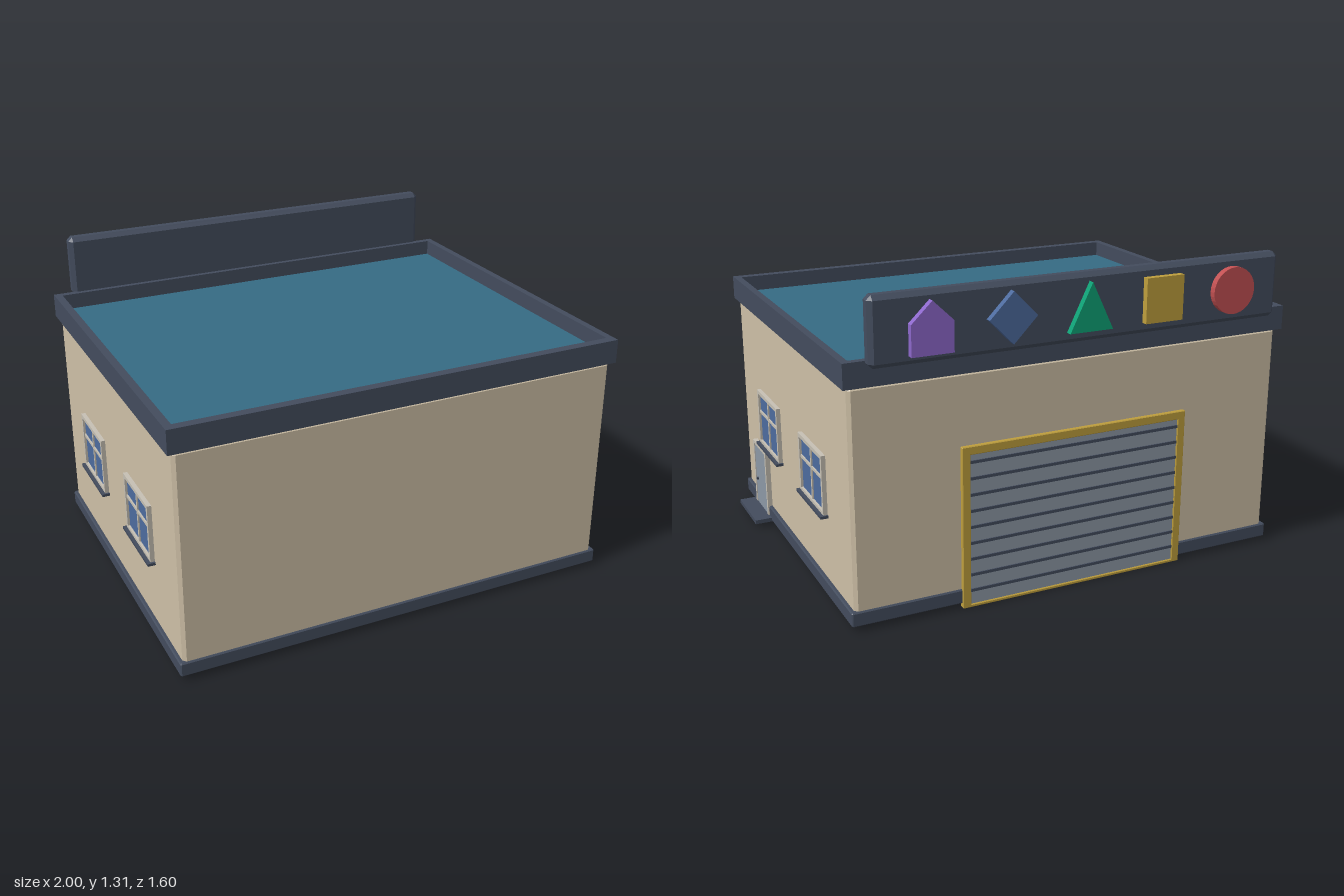
import * as THREE from 'three';
import { ConvexGeometry } from 'three/addons/geometries/ConvexGeometry.js';

const mat = (name, color) => {
  const m = new THREE.MeshStandardMaterial({ color });
  m.name = name;
  return m;
};

export function createModel() {
  const M = {
    wall: mat('sand wall', 0xcdbfa6), dark: mat('slate trim', 0x434c5d),
    roof: mat('teal roof', 0x356b84), blue: mat('blue', 0x4d6b9e),
    grey: mat('door grey', 0x8d98a5), frame: mat('pale frame', 0xc6c0b4),
    yellow: mat('yellow', 0xbf9f3d), red: mat('red', 0xc25052),
    green: mat('green', 0x0ca276), purple: mat('purple', 0x8d68cb),
  };
  const root = new THREE.Group();
  root.name = 'garageBuilding';

  const add = (parent, name, geo, material) => {
    const m = new THREE.Mesh(geo, material);
    m.name = name;
    parent.add(m);
    return m;
  };

  // Box given by its limits, with optional chamfered edges
  const box = (parent, name, material, [x0, x1], [y0, y1], [z0, z1], c = 0) => {
    const size = [x1 - x0, y1 - y0, z1 - z0];
    let geo;
    if (c) {
      const pts = [];
      for (const sx of [-1, 1]) for (const sy of [-1, 1]) for (const sz of [-1, 1])
        for (let axis = 0; axis < 3; axis++) {
          const p = [sx, sy, sz].map((s, i) => s * (size[i] / 2 - (i === axis ? 0 : c)));
          pts.push(new THREE.Vector3(...p));
        }
      geo = new ConvexGeometry(pts);
    } else geo = new THREE.BoxGeometry(...size);
    geo.translate((x0 + x1) / 2, (y0 + y1) / 2, (z0 + z1) / 2);
    return add(parent, name, geo, material);
  };

  const rect = (Type, x0, x1, y0, y1) => new Type().setFromPoints(
    [[x0, y0], [x1, y0], [x1, y1], [x0, y1]].map(p => new THREE.Vector2(...p)));

  // Body, plinth and roof
  box(root, 'walls', M.wall, [-0.97, 0.91], [0.05, 0.968], [-0.7, 0.785], 0.014);
  box(root, 'plinth', M.dark, [-0.985, 0.925], [0.02, 0.08], [-0.708, 0.793], 0.005);
  box(root, 'roof', M.roof, [-0.965, 0.905], [0.97, 1.0], [-0.695, 0.765]);

  // Parapet ring around the roof
  const ring = rect(THREE.Shape, -0.99, 0.93, -0.798, 0.717);
  ring.holes.push(rect(THREE.Path, -0.957, 0.9, -0.76, 0.688));
  const ringGeo = new THREE.ExtrudeGeometry(ring, { depth: 0.1, bevelEnabled: false });
  ringGeo.rotateX(-Math.PI / 2).translate(0, 0.966, 0);
  add(root, 'parapet', ringGeo, M.dark);

  // Sign board with five raised shapes
  const sign = new THREE.Group();
  sign.name = 'sign';
  root.add(sign);
  box(sign, 'signBoard', M.dark, [-0.902, 0.848], [1.045, 1.312], [-0.775, -0.71], 0.018);
  const icons = [
    ['circle', M.red, -0.675, null],
    ['square', M.yellow, -0.352, [[-0.083, -0.09], [0.083, -0.09], [0.083, 0.09], [-0.083, 0.09]]],
    ['triangle', M.green, -0.03, [[-0.092, -0.09], [0.092, -0.09], [0, 0.1]]],
    ['diamond', M.blue, 0.297, [[0, -0.1], [0.098, 0], [0, 0.1], [-0.098, 0]]],
    ['pentagon', M.purple, 0.617,
      [[-0.083, -0.1], [0.083, -0.1], [0.083, 0.02], [0, 0.1], [-0.083, 0.02]]],
  ];
  for (const [name, material, x, pts] of icons) {
    const shape = new THREE.Shape();
    if (pts) shape.setFromPoints(pts.map(p => new THREE.Vector2(...p)));
    else shape.absarc(0, 0, 0.095, 0, Math.PI * 2);
    const geo = new THREE.ExtrudeGeometry(shape,
      { depth: 0.034, bevelEnabled: false, curveSegments: 16 });
    add(sign, name, geo, material).position.set(x, 1.18, -0.802);
  }

  // Roller door at the back
  const garage = new THREE.Group();
  garage.name = 'rollerDoor';
  root.add(garage);
  box(garage, 'rollerPanel', M.grey, [-0.5, 0.44], [0.01, 0.645], [-0.711, -0.69]);
  for (let i = 1; i <= 9; i++) {
    const y = 0.005 + i * 0.0672;
    box(garage, 'slatGap', M.dark, [-0.495, 0.435], [y - 0.006, y + 0.006], [-0.716, -0.7]);
  }
  const zf = [-0.717, -0.69];
  box(garage, 'frameSide', M.yellow, [-0.53, -0.495], [0, 0.675], zf, 0.003);
  box(garage, 'frameSide', M.yellow, [0.435, 0.47], [0, 0.675], zf, 0.003);
  box(garage, 'frameTop', M.yellow, [-0.53, 0.47], [0.64, 0.675], zf, 0.003);
  box(garage, 'frameBottom', M.yellow, [-0.53, 0.47], [0, 0.013], zf, 0.003);

  // Windows, two on each side wall; local +x points outwards
  const addWindow = (x, z, turn) => {
    const w = new THREE.Group();
    w.name = 'window';
    w.position.set(x, 0, z);
    w.rotation.y = turn;
    root.add(w);
    box(w, 'glass', M.blue, [-0.01, 0.008], [0.365, 0.605], [-0.145, 0.145]);
    for (const s of [-1, 1])
      box(w, 'windowSide', M.frame, [-0.01, 0.018], [0.362, 0.612],
        [s * 0.143 - 0.008, s * 0.143 + 0.008]);
    for (const y of [0.37, 0.604])
      box(w, 'windowRail', M.frame, [-0.01, 0.018], [y - 0.008, y + 0.008], [-0.15, 0.15]);
    box(w, 'mullion', M.frame, [-0.01, 0.014], [0.37, 0.604], [-0.006, 0.006]);
    box(w, 'crossbar', M.frame, [-0.01, 0.014], [0.508, 0.52], [-0.145, 0.145]);
    box(w, 'sill', M.dark, [-0.01, 0.032], [0.354, 0.365], [-0.16, 0.16]);
  };
  for (const z of [0.348, -0.262]) {
    addWindow(0.91, z, 0);
    addWindow(-0.97, z, Math.PI);
  }

  // Side door with knob and step
  const door = new THREE.Group();
  door.name = 'sideDoor';
  root.add(door);
  const dx = [0.9, 0.931];
  box(door, 'doorPanel', M.grey, [0.9, 0.928], [0.01, 0.328], [0.42, 0.605]);
  box(door, 'doorJamb', M.frame, dx, [0.005, 0.338], [0.413, 0.43]);
  box(door, 'doorJamb', M.frame, dx, [0.005, 0.338], [0.598, 0.615]);
  box(door, 'doorLintel', M.frame, dx, [0.324, 0.338], [0.413, 0.615]);
  box(door, 'doorKnob', M.dark, [0.92, 0.936], [0.156, 0.166], [0.562, 0.572]);
  box(door, 'doorStep', M.dark, [0.91, 1.0], [0.018, 0.036], [0.38, 0.648]);
  return root;
}
